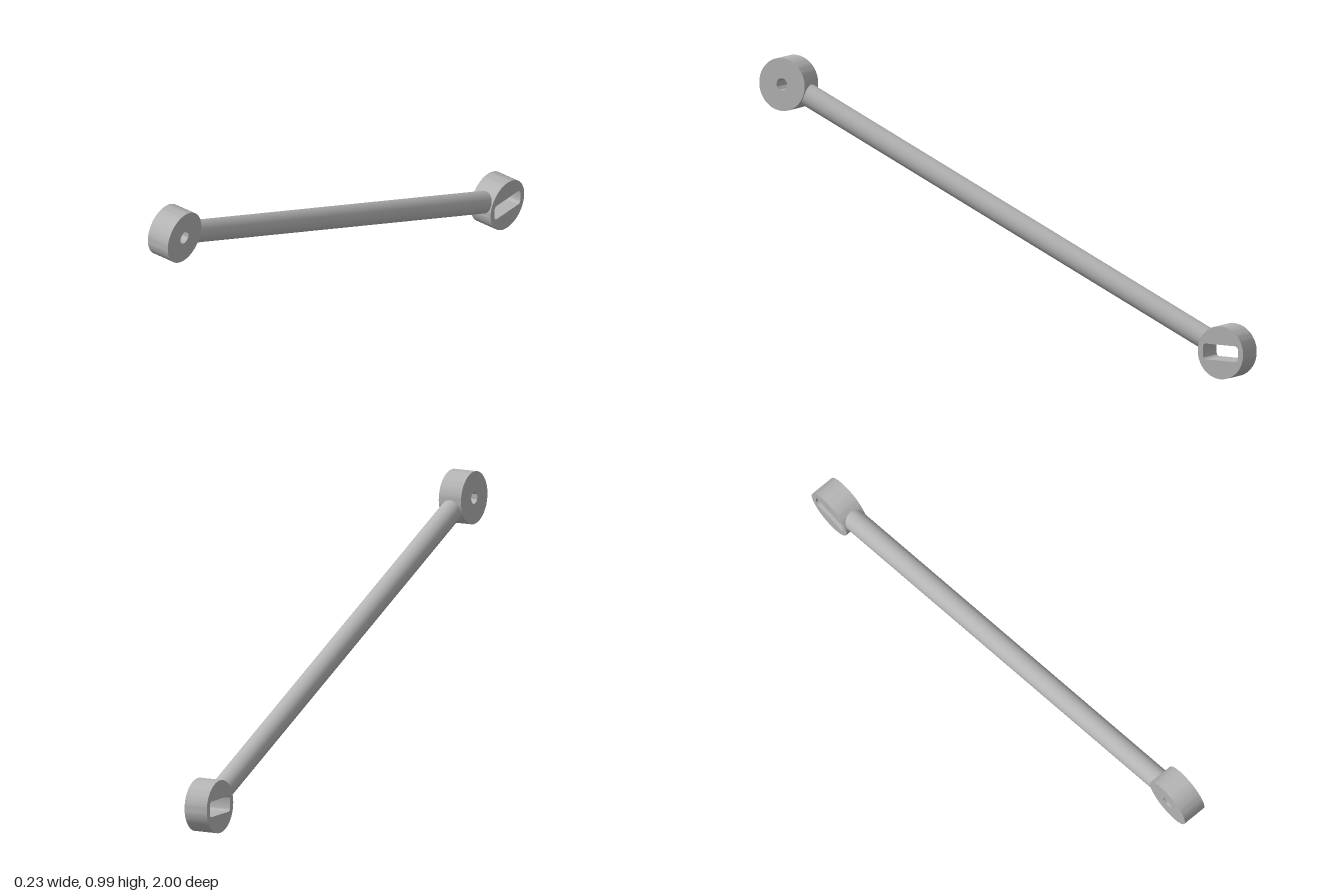
import * as THREE from 'three';
import { toCreasedNormals } from 'three/addons/utils/BufferGeometryUtils.js';

const RING_RADIUS = 0.094;
const RING_WIDTH = 0.09;
const ROD_RADIUS = 0.04;
const YAW = 0.066;

// Short cylinder with its axis along x, pierced by the given hole
function ringGeometry(hole) {
  const shape = new THREE.Shape();
  shape.absarc(0, 0, RING_RADIUS, 0, Math.PI * 2);
  shape.holes.push(hole);
  const geometry = new THREE.ExtrudeGeometry(shape, {
    depth: RING_WIDTH, bevelEnabled: false, curveSegments: 32,
  });
  geometry.translate(0, 0, -RING_WIDTH / 2);
  geometry.rotateY(Math.PI / 2);
  return toCreasedNormals(geometry, 0.6);
}

function roundHole(radius) {
  const path = new THREE.Path();
  path.absarc(0, 0, radius, 0, Math.PI * 2, true);
  return path;
}

// Rectangular slot with rounded corners
function slotHole(w, h, r) {
  const path = new THREE.Path();
  path.absarc(w - r, h - r, r, 0, Math.PI / 2);
  path.absarc(-w + r, h - r, r, Math.PI / 2, Math.PI);
  path.absarc(-w + r, -h + r, r, Math.PI, Math.PI * 1.5);
  path.absarc(w - r, -h + r, r, Math.PI * 1.5, Math.PI * 2);
  path.closePath();
  return path;
}

export function createModel() {
  const group = new THREE.Group();
  group.name = 'linkRod';
  const metal = new THREE.MeshStandardMaterial({ color: 0xb4b4b4 });
  metal.name = 'grey metal';

  const upper = new THREE.Vector3(0.062, 0.9, 0.905);
  const lower = new THREE.Vector3(-0.062, 0.095, -0.905);

  // End rings, turned to line up with the rod
  const addRing = (name, hole, position) => {
    const ring = new THREE.Mesh(ringGeometry(hole), metal);
    ring.name = name;
    ring.position.copy(position);
    ring.rotation.y = YAW;
    group.add(ring);
  };
  addRing('upperRing', roundHole(0.022), upper);
  addRing('lowerRing', slotHole(0.072, 0.028, 0.012), lower);

  // Straight rod, its ends buried in the ring walls
  const direction = upper.clone().sub(lower);
  const length = direction.length() - 0.16;
  const rod = new THREE.Mesh(
    new THREE.CylinderGeometry(ROD_RADIUS, ROD_RADIUS, length, 48), metal);
  rod.name = 'rod';
  rod.position.copy(upper).add(lower).multiplyScalar(0.5);
  rod.quaternion.setFromUnitVectors(new THREE.Vector3(0, 1, 0), direction.normalize());
  group.add(rod);

  return group;
}
